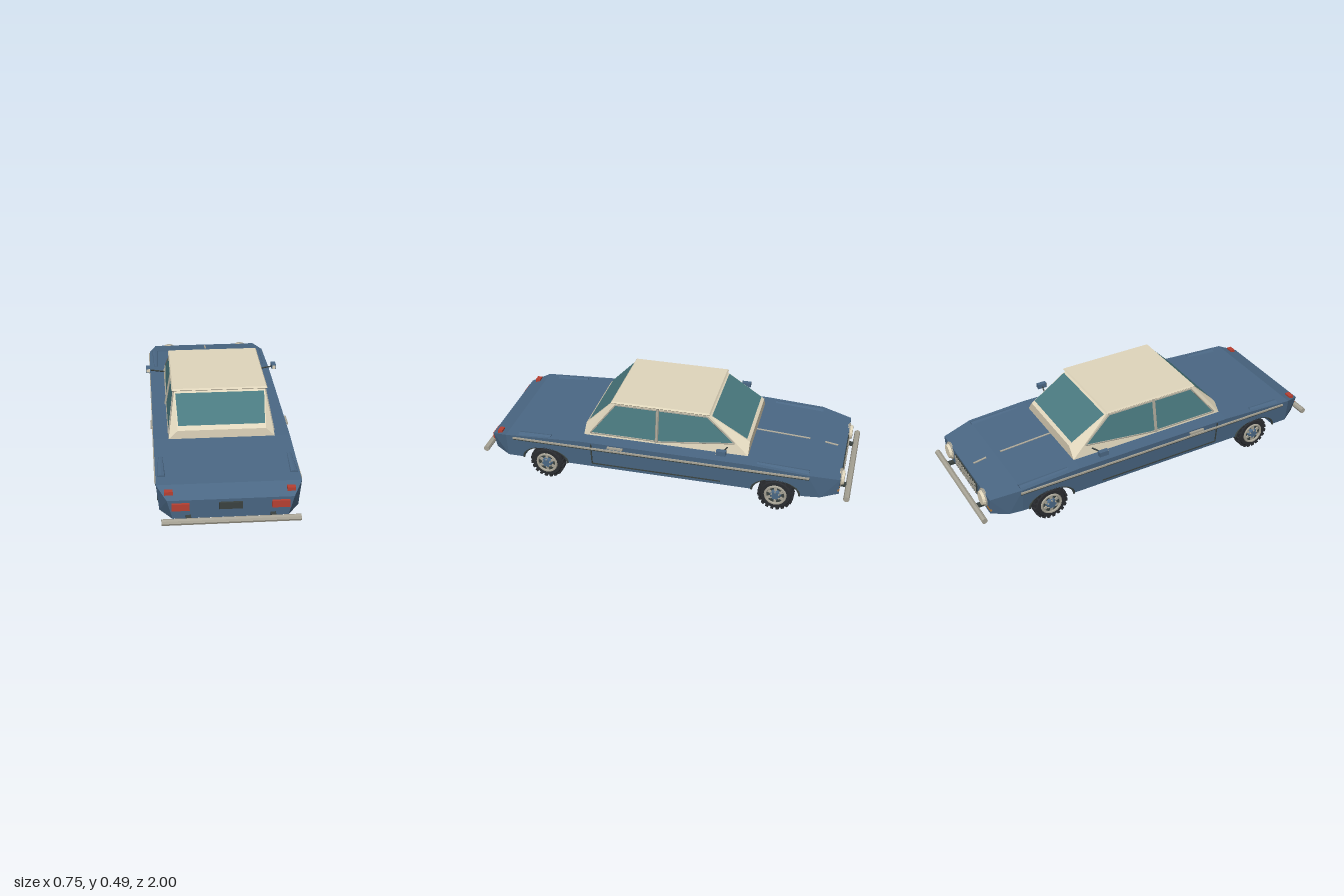
import * as THREE from 'three';
import { ConvexGeometry } from 'three/addons/geometries/ConvexGeometry.js';

const mat = (color, side = THREE.FrontSide) =>
  new THREE.MeshStandardMaterial({ color, flatShading: true, side });
const BLUE = mat(0x4b6885), CREAM = mat(0xe0d6bc), GLASS = mat(0x4a7a80, THREE.DoubleSide);
const RED = mat(0xb84032), TYRE = mat(0x2a2c30), CHROME = mat(0xa8a496), DARK = mat(0x3a4240);
const AMBER = mat(0xb87a3a);
const V = (x, y, z) => new THREE.Vector3(x, y, z);

function add(parent, name, geometry, material, x = 0, y = 0, z = 0) {
  const m = new THREE.Mesh(geometry, material);
  m.name = name;
  m.position.set(x, y, z);
  parent.add(m);
  return m;
}
const box = (p, name, material, w, h, d, x, y, z) =>
  add(p, name, new THREE.BoxGeometry(w, h, d), material, x, y, z);

// Round bar between two points
function bar(p, name, material, a, b, r, sides = 6) {
  const m = add(p, name, new THREE.CylinderGeometry(r, r, a.distanceTo(b), sides), material);
  m.position.copy(a).lerp(b, 0.5);
  m.quaternion.setFromUnitVectors(V(0, 1, 0), b.clone().sub(a).normalize());
  return m;
}

// Flat pane from four corners
function pane(p, name, material, corners) {
  const g = new THREE.BufferGeometry().setFromPoints(corners);
  g.setIndex([0, 1, 2, 0, 2, 3]);
  g.computeVertexNormals();
  return add(p, name, g, material);
}

// Convex solid from half its corners, mirrored across x
const hull = (pts) =>
  new ConvexGeometry(pts.flatMap(([x, y, z]) => [V(x, y, z), V(-x, y, z)]));

const WHEELS = [0.635, -0.62];

// Side outline between nose and tail, with or without wheel arches
function bodySlab(x0, x1, arches) {
  const s = new THREE.Shape();
  s.moveTo(-0.85, 0.123);
  if (arches) for (const z of WHEELS) {
    s.lineTo(-z - 0.125, 0.123);
    s.absellipse(-z, 0.123, 0.125, 0.077, Math.PI, 0, true);
  }
  s.lineTo(0.78, 0.123);
  s.lineTo(0.78, 0.262);
  s.lineTo(0.46, 0.28);
  s.lineTo(-0.43, 0.28);
  s.lineTo(-0.85, 0.257);
  const g = new THREE.ExtrudeGeometry(s, { depth: x1 - x0, bevelEnabled: false, curveSegments: 10 });
  g.rotateY(Math.PI / 2).translate(x0, 0, 0);
  // Lean the outer skin inward towards the sill
  const a = g.attributes.position;
  for (let i = 0; i < a.count; i++)
    if (a.getX(i) > 0.3) a.setX(i, a.getX(i) - (0.28 - a.getY(i)) * 0.1);
  g.computeVertexNormals();
  return g;
}

function makeWheel() {
  const w = new THREE.Group();
  w.name = 'wheel';
  const pts = [[0.055, -0.03], [0.078, -0.03], [0.086, -0.02], [0.086, 0.02], [0.078, 0.03], [0.055, 0.03], [0.055, -0.03]]
    .map(([r, y]) => new THREE.Vector2(r, y));
  add(w, 'tyre', new THREE.LatheGeometry(pts, 24), TYRE).rotation.z = -Math.PI / 2;
  for (let i = 0; i < 20; i++) {
    const a = (i / 20) * Math.PI * 2;
    for (const [x, off] of [[-0.013, 0], [0.013, Math.PI / 20]]) {
      const lug = box(w, 'treadBlock', TYRE, 0.023, 0.014, 0.016, x,
        Math.cos(a + off) * 0.088, Math.sin(a + off) * 0.088);
      lug.rotation.x = a + off;
    }
  }
  add(w, 'rimDisc', new THREE.CylinderGeometry(0.055, 0.055, 0.044, 20), DARK).rotation.z = Math.PI / 2;
  for (const x of [-0.03, 0.03])
    add(w, 'rimRing', new THREE.TorusGeometry(0.053, 0.007, 6, 24), CHROME, x).rotation.y = Math.PI / 2;
  add(w, 'hubCap', new THREE.CylinderGeometry(0.024, 0.032, 0.018, 12), BLUE, 0.03).rotation.z = -Math.PI / 2;
  for (let i = 0; i < 6; i++) {
    const a = (i / 6) * Math.PI * 2;
    box(w, 'spoke', CHROME, 0.012, 0.026, 0.014, 0.024, Math.cos(a) * 0.04, Math.sin(a) * 0.04).rotation.x = a;
    box(w, 'wheelNut', CHROME, 0.008, 0.007, 0.007, 0.038, Math.cos(a) * 0.023, Math.sin(a) * 0.023).rotation.x = a;
  }
  return w;
}

// Everything that appears on both flanks
function makeSide() {
  const s = new THREE.Group();
  s.name = 'flank';
  add(s, 'sidePanel', bodySlab(0.24, 0.35, true), BLUE);
  for (const z of WHEELS) {
    const w = makeWheel();
    w.position.set(0.295, 0.097, z);
    s.add(w);
    const well = add(s, 'wheelWell', new THREE.CircleGeometry(0.125, 16, 0, Math.PI), DARK, 0.243, 0.123, z);
    well.scale.y = 0.62;
    well.rotation.y = Math.PI / 2;
    const lip = add(s, 'archLip', new THREE.TorusGeometry(0.125, 0.006, 5, 16, Math.PI), DARK, 0.337, 0.123, z);
    lip.scale.y = 0.64;
    lip.rotation.set(0, Math.PI / 2, 0);
    bar(s, 'axleStub', DARK, V(0.2, 0.11, z), V(0.29, 0.1, z), 0.012);
  }
  // Trim, door seam and handle
  box(s, 'sideTrim', CHROME, 0.008, 0.009, 1.6, 0.35, 0.246, 0.01);
  box(s, 'trimShadow', DARK, 0.006, 0.006, 1.6, 0.347, 0.237, 0.01);
  box(s, 'doorSeamRear', DARK, 0.006, 0.128, 0.007, 0.342, 0.208, 0.37).rotation.z = -0.1;
  box(s, 'doorSeamSill', DARK, 0.006, 0.006, 0.7, 0.337, 0.145, 0.02);
  box(s, 'doorHandle', CHROME, 0.014, 0.01, 0.085, 0.355, 0.268, 0.235);
  // Raised ridges on the wings
  for (const [z, y, l, x, tilt] of [[0.69, 0.263, 0.18, 0.32, 0.054], [-0.65, 0.266, 0.27, 0.315, -0.06]]) {
    const ridge = add(s, 'wingRidge', new THREE.CylinderGeometry(0.013, 0.021, l, 8), BLUE, x, y, z);
    ridge.rotation.x = (z > 0 ? -1 : 1) * (Math.PI / 2) + tilt;
    ridge.scale.z = 0.6;
  }
  // Side glass, centre post and window frame
  const on = (y, z, o = 0.004) => V(0.27 - (y - 0.28) * 0.18 + o, y, z);
  const outline = [on(0.295, 0.395), on(0.295, 0.0), on(0.34, -0.385), on(0.465, -0.235), on(0.465, 0.26)];
  pane(s, 'rearSideWindow', GLASS, [outline[0], on(0.295, 0.03), on(0.465, 0.03), outline[4]]);
  pane(s, 'frontSideWindow', GLASS, [on(0.295, 0.03), outline[2], outline[3], on(0.465, 0.03)]);
  outline.forEach((p, i) => bar(s, 'windowFrame', CHROME, p, outline[(i + 1) % 5], 0.004, 5));
  bar(s, 'doorPost', CHROME, on(0.29, 0.03, 0.006), on(0.475, 0.03, 0.006), 0.009);
  // Mirror
  bar(s, 'mirrorArm', DARK, V(0.27, 0.315, -0.35), V(0.355, 0.335, -0.335), 0.004);
  box(s, 'mirrorShell', BLUE, 0.025, 0.026, 0.05, 0.363, 0.34, -0.335);
  box(s, 'mirrorGlass', CREAM, 0.019, 0.02, 0.004, 0.363, 0.34, -0.309);
  // Lamps
  box(s, 'tailLamp', RED, 0.084, 0.035, 0.025, 0.236, 0.193, 0.945);
  box(s, 'cornerLamp', RED, 0.04, 0.028, 0.026, 0.29, 0.24, 0.9);
  const lamp = add(s, 'headlamp', new THREE.CylinderGeometry(0.036, 0.046, 0.026, 16), CREAM, 0.225, 0.197, -0.948);
  lamp.rotation.x = -Math.PI / 2;
  add(s, 'headlampRing', new THREE.TorusGeometry(0.044, 0.006, 6, 20), CHROME, 0.225, 0.197, -0.942);
  box(s, 'frontIndicator', AMBER, 0.04, 0.014, 0.016, 0.285, 0.168, -0.935);
  for (const z of [0.955, -0.955]) box(s, 'bumperBracket', DARK, 0.025, 0.014, 0.07, 0.2, 0.137, z);
  return s;
}

export function createModel() {
  const car = new THREE.Group();
  car.name = 'car';

  // Body core, nose and tail
  add(car, 'bodyCore', bodySlab(-0.241, 0.241, false), BLUE);
  add(car, 'nose', hull([[0.348, 0.262, -0.78], [0.334, 0.123, -0.78], [0.325, 0.123, -0.85],
    [0.31, 0.236, -0.942], [0.3, 0.145, -0.942]]), BLUE);
  add(car, 'tail', hull([[0.348, 0.257, 0.85], [0.334, 0.123, 0.85],
    [0.3, 0.225, 0.945], [0.275, 0.125, 0.94]]), BLUE);

  // Cabin with cut corners, roof slab and screens
  add(car, 'cabin', hull([[0.272, 0.28, 0.43], [0.226, 0.325, 0.43], [0.236, 0.476, 0.28],
    [0.236, 0.476, -0.245], [0.226, 0.34, -0.46], [0.272, 0.28, -0.46]]), CREAM);
  add(car, 'roof', hull([[0.24, 0.473, 0.272], [0.24, 0.473, -0.242], [0.249, 0.481, 0.282],
    [0.249, 0.481, -0.252], [0.243, 0.489, 0.276], [0.243, 0.489, -0.246]]), CREAM);
  for (const [name, y0, z0, y1, z1] of [
    ['rearScreen', 0.345, 0.414, 0.47, 0.289], ['windscreen', 0.353, -0.444, 0.47, -0.258]])
    pane(car, name, GLASS, [V(-0.222, y0, z0), V(0.222, y0, z0), V(0.23, y1, z1), V(-0.23, y1, z1)]);

  // Bumpers
  for (const z of [0.984, -0.984]) {
    const y = 0.134;
    bar(car, 'bumper', CHROME, V(-0.328, y, z), V(0.328, y, z), 0.016, 8);
  }

  // Number plate, grille and bonnet strips
  box(car, 'plate', DARK, 0.112, 0.034, 0.016, 0, 0.193, 0.947);
  box(car, 'grille', DARK, 0.29, 0.066, 0.008, 0, 0.193, -0.943);
  for (let i = 0; i < 13; i++)
    box(car, 'grilleBar', CHROME, 0.005, 0.06, 0.008, -0.132 + i * 0.022, 0.193, -0.948);
  bar(car, 'bonnetStrip', CHROME, V(0, 0.28, -0.46), V(0, 0.264, -0.75), 0.006);
  bar(car, 'bonnetStripFront', CHROME, V(0, 0.255, -0.83), V(0, 0.244, -0.9), 0.006);

  const left = makeSide(), right = makeSide();
  right.scale.x = -1;
  car.add(left, right);
  return car;
}
